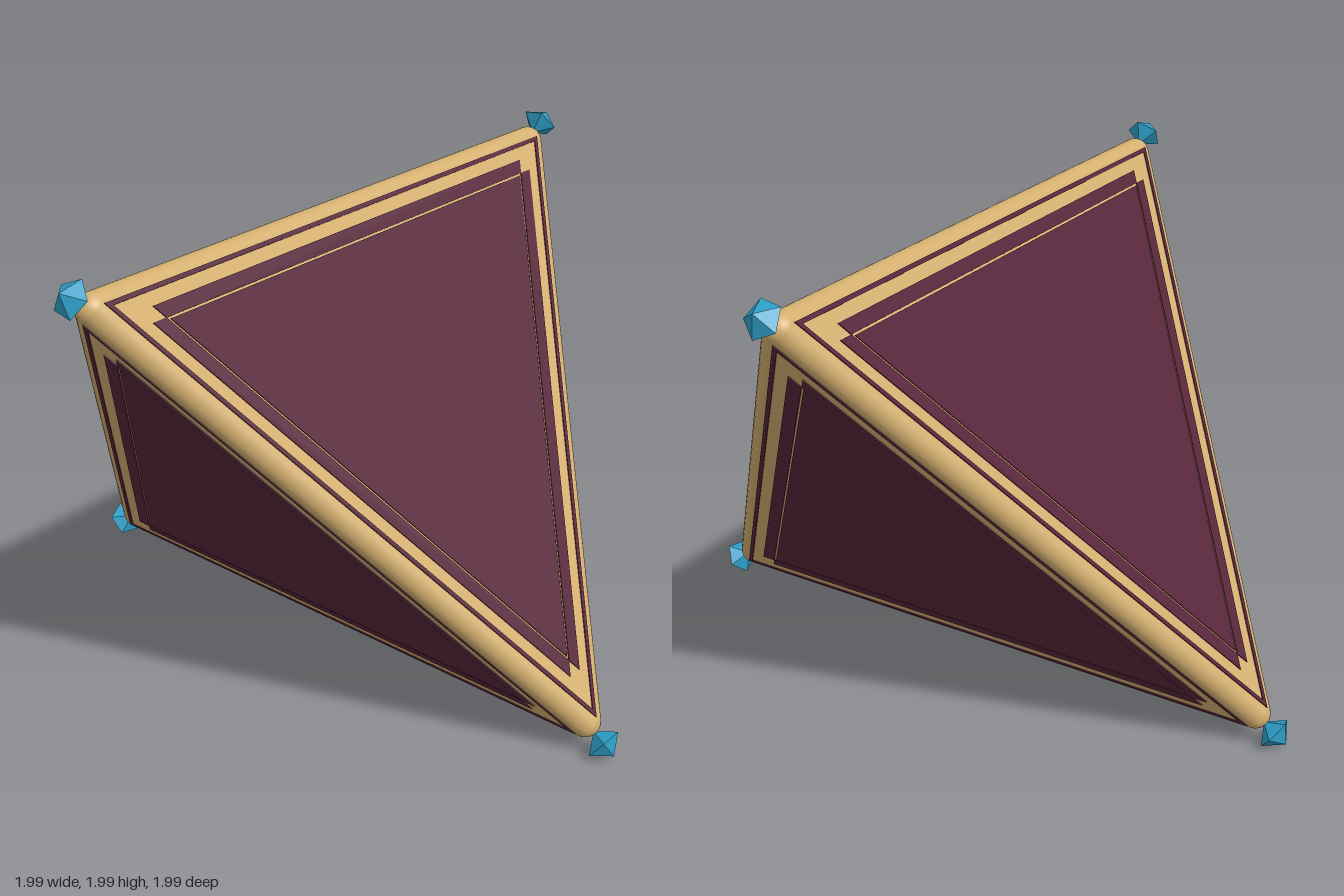
import * as THREE from 'three';

const C = 0.875; // half size of the skeleton joining the rounded corners
const R = 0.06; // edge rounding radius
const UP = new THREE.Vector3(0, 1, 0);

const gold = new THREE.MeshStandardMaterial({ color: 0xd4af70 });
const maroon = new THREE.MeshStandardMaterial({ color: 0x58253a });
const blue = new THREE.MeshStandardMaterial({ color: 0x2e9ec6, flatShading: true });

const corners = [[-1, 1, 1], [1, -1, 1], [1, 1, -1], [-1, -1, -1]].map((c) => new THREE.Vector3(...c));

function addMesh(parent, name, geometry, material) {
  const mesh = new THREE.Mesh(geometry, material);
  mesh.name = name;
  parent.add(mesh);
  return mesh;
}

// Equilateral triangle with inradius u, one tip pointing down
const trianglePoints = (u) => [
  new THREE.Vector2(0, -2 * u),
  new THREE.Vector2(Math.sqrt(3) * u, u),
  new THREE.Vector2(-Math.sqrt(3) * u, u),
];

// Band along the upper side, its ends cut by the lines parallel to the other sides
function stripPoints(outer, inner) {
  const x = (y) => (inner + y / 2) / Math.sqrt(0.75);
  return [[-x(inner), inner], [x(inner), inner], [x(outer), outer], [-x(outer), outer]]
    .map(([px, py]) => new THREE.Vector2(px, py));
}

const inlay = (shape) => new THREE.ExtrudeGeometry(shape, { depth: 0.004, bevelEnabled: false });

function createFace(normal, tip) {
  const face = new THREE.Group();
  face.name = 'face';
  const y = tip.clone().projectOnPlane(normal).normalize().negate();
  const x = y.clone().cross(normal);
  face.setRotationFromMatrix(new THREE.Matrix4().makeBasis(x, y, normal));
  face.position.copy(normal).multiplyScalar(C / Math.sqrt(3) + R);

  // Gold plate that shows as the frame and the fine lines
  addMesh(face, 'facePlate', new THREE.ShapeGeometry(new THREE.Shape(trianglePoints(C * Math.sqrt(2 / 3)))), gold);

  // Thin dark outline near the edge
  const outline = new THREE.Shape(trianglePoints(0.711));
  outline.holes.push(new THREE.Path(trianglePoints(0.694)));
  addMesh(face, 'outlineInlay', inlay(outline), maroon);

  // Dark bands inside the frame
  for (let k = 0; k < 3; k++) {
    const strip = addMesh(face, 'bandInlay', inlay(new THREE.Shape(stripPoints(0.644, 0.591))), maroon);
    strip.rotation.z = (k * 2 * Math.PI) / 3;
  }

  // Centre panel
  addMesh(face, 'centrePanel', inlay(new THREE.Shape(trianglePoints(0.583))), maroon);
  return face;
}

export function createModel() {
  const model = new THREE.Group();
  model.name = 'fourSidedDie';
  const body = new THREE.Group();
  body.name = 'body';
  body.position.y = 1;
  model.add(body);

  corners.forEach((corner, i) => {
    const direction = corner.clone().normalize();

    // Face opposite this corner
    body.add(createFace(direction.clone().negate(), corners[(i + 1) % 4]));

    // Rounded corner
    addMesh(body, 'roundedCorner', new THREE.SphereGeometry(R, 24, 16), gold)
      .position.copy(corner).multiplyScalar(C);

    // Five-sided gem on the corner
    const gem = addMesh(body, 'cornerGem', new THREE.SphereGeometry(0.075, 5, 2), blue);
    gem.scale.y = 0.8;
    gem.quaternion.setFromUnitVectors(UP, direction);
    gem.position.copy(corner).multiplyScalar(0.937);

    // Rounded edges to the remaining corners
    for (const other of corners.slice(i + 1)) {
      const along = other.clone().sub(corner);
      const edge = addMesh(body, 'roundedEdge',
        new THREE.CylinderGeometry(R, R, along.length() * C, 32, 1, true), gold);
      edge.position.copy(corner).add(other).multiplyScalar(C / 2);
      edge.quaternion.setFromUnitVectors(UP, along.normalize());
    }
  });
  return model;
}
